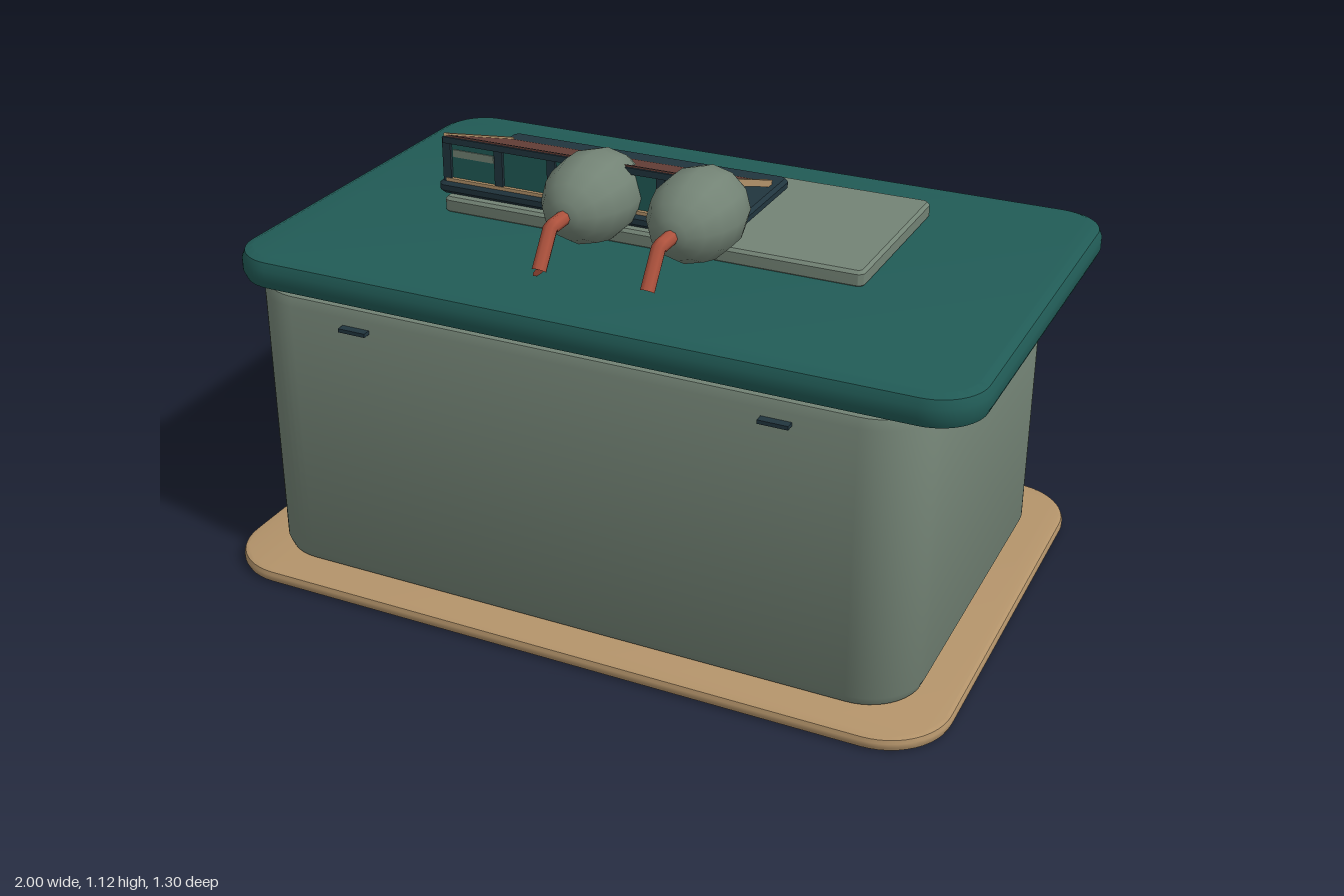
import * as THREE from 'three';
import { mergeVertices, toCreasedNormals } from 'three/addons/utils/BufferGeometryUtils.js';

const mat = (name, color) => {
  const m = new THREE.MeshStandardMaterial({ color });
  m.name = name;
  return m;
};

export function createModel() {
  const sage = mat('sage', 0x738375);
  const teal = mat('deep teal', 0x215b56);
  const navy = mat('dark slate', 0x21353e);
  const wood = mat('tan wood', 0xb3936a);
  const brown = mat('red brown', 0x653f37);
  const clay = mat('terracotta', 0xad523d);

  const model = new THREE.Group();
  model.name = 'building';

  const add = (name, geometry, material, parent = model) => {
    const mesh = new THREE.Mesh(geometry, material);
    mesh.name = name;
    parent.add(mesh);
    return mesh;
  };

  // Axis-aligned box given by its limits
  const box = (name, material, [x0, x1], [y0, y1], [z0, z1], parent) => {
    const mesh = add(name, new THREE.BoxGeometry(x1 - x0, y1 - y0, z1 - z0), material, parent);
    mesh.position.set((x0 + x1) / 2, (y0 + y1) / 2, (z0 + z1) / 2);
    return mesh;
  };

  // Slab with rounded plan corners and bevelled top and bottom edges
  const slab = (name, material, [x0, x1], [y0, y1], [z0, z1], radius, bevel, steps = 2) => {
    const w = (x1 - x0) / 2 - bevel, d = (z1 - z0) / 2 - bevel;
    const r = Math.max(radius - bevel, 0.004);
    const s = new THREE.Shape();
    s.moveTo(w, -d + r);
    s.absarc(w - r, d - r, r, 0, Math.PI / 2);
    s.absarc(-w + r, d - r, r, Math.PI / 2, Math.PI);
    s.absarc(-w + r, -d + r, r, Math.PI, Math.PI * 1.5);
    s.absarc(w - r, -d + r, r, Math.PI * 1.5, Math.PI * 2);
    let g = new THREE.ExtrudeGeometry(s, {
      depth: y1 - y0 - 2 * bevel, bevelEnabled: true, bevelSize: bevel,
      bevelThickness: bevel, bevelSegments: steps, curveSegments: 6,
    });
    g.deleteAttribute('uv');
    g.deleteAttribute('normal');
    g = toCreasedNormals(mergeVertices(g, 1e-4), 0.7);
    g.translate(0, 0, bevel).rotateX(-Math.PI / 2);
    const mesh = add(name, g, material);
    mesh.position.set((x0 + x1) / 2, y0, (z0 + z1) / 2);
    return mesh;
  };

  // Shell of the building
  slab('basePlate', wood, [-1, 0.98], [0, 0.035], [-0.65, 0.65], 0.17, 0.012);
  slab('walls', sage, [-0.91, 0.885], [0.03, 0.808], [-0.553, 0.555], 0.15, 0.033);
  slab('roof', teal, [-0.955, 1], [0.805, 0.89], [-0.645, 0.565], 0.13, 0.028);
  slab('roofPanel', sage, [-0.595, 0.57], [0.885, 0.93], [-0.435, 0.085], 0.02, 0.008, 1);

  // Lean-to skylight: kerb, sloping cover, glazed front, open gables
  const skylight = new THREE.Group();
  skylight.name = 'skylight';
  model.add(skylight);
  skylight.add(slab('skylightKerb', navy, [-0.625, 0.205], [0.93, 0.963], [-0.357, 0.065], 0.025, 0.009, 1));

  const low = new THREE.Vector3(0, 0.965, -0.285);
  const high = new THREE.Vector3(0, 1.085, 0.052);
  const run = high.clone().sub(low);
  const sloped = (name, w, h, x, material) => {
    const mesh = add(name, new THREE.BoxGeometry(w, h, run.length()), material, skylight);
    mesh.position.copy(low).add(high).multiplyScalar(0.5).setX(x);
    mesh.rotation.x = -Math.atan2(run.y, run.z);
    return mesh;
  };
  sloped('skylightCover', 0.77, 0.008, -0.212, brown);
  for (const x of [-0.597, 0.173]) sloped('gableRail', 0.016, 0.018, x, wood);

  box('skylightGlass', teal, [-0.6, 0.178], [0.96, 1.075], [0.04, 0.046], skylight);
  box('topRail', navy, [-0.605, 0.182], [1.068, 1.085], [0.038, 0.058], skylight);
  box('sillRail', wood, [-0.6, 0.178], [0.961, 0.972], [0.04, 0.056], skylight);
  for (let i = 0; i <= 5; i++) {
    const x = -0.597 + i * 0.154;
    box('mullion', navy, [x - 0.012, x + 0.012], [0.96, 1.08], [0.036, 0.054], skylight);
  }
  box('paneStrip', sage, [-0.58, -0.46], [1.03, 1.05], [0.046, 0.049], skylight);

  // Pair of rounded vents with bent spouts
  for (const x of [-0.155, 0.135]) {
    const vent = new THREE.Group();
    vent.name = 'roofVent';
    vent.position.x = x;
    model.add(vent);
    const body = add('ventBody', new THREE.SphereGeometry(1, 12, 9).rotateX(Math.PI / 2), sage, vent);
    body.scale.set(0.12, 0.117, 0.168);
    body.position.set(0, 1.004, 0.078);

    const path = new THREE.CurvePath();
    const pts = [[0.2, 1.003], [0.308, 1.001], [0.37, 0.912]].map(([z, y]) => new THREE.Vector3(0, y, z));
    path.add(new THREE.LineCurve3(pts[0], pts[1]));
    path.add(new THREE.LineCurve3(pts[1], pts[2]));
    add('ventSpout', new THREE.TubeGeometry(path, 16, 0.019, 8), clay, vent);
    const tip = add('spoutEnd', new THREE.CircleGeometry(0.019, 8), clay, vent);
    tip.position.copy(pts[2]);
    tip.lookAt(pts[2].clone().multiplyScalar(2).sub(pts[1]));
  }

  // Small hooks high on the front wall
  for (const x of [-0.57, 0.543]) {
    box('hookPlate', navy, [x - 0.038, x + 0.038], [0.745, 0.755], [0.545, 0.577]);
    box('hookStem', navy, [x - 0.028, x + 0.028], [0.738, 0.746], [0.545, 0.562]);
  }

  // Two back doors
  for (const x of [0.442, -0.467]) {
    const door = new THREE.Group();
    door.name = 'backDoor';
    door.position.x = x;
    model.add(door);
    box('doorFrame', navy, [-0.175, 0.175], [0.058, 0.715], [-0.58, -0.54], door);
    box('doorLeaf', teal, [-0.15, 0.15], [0.07, 0.66], [-0.602, -0.575], door);
    box('doorPlate', sage, [-0.095, 0.095], [0.55, 0.635], [-0.616, -0.6], door);
    box('doorHandle', sage, [0.09, 0.117], [0.3, 0.345], [-0.624, -0.6], door);
  }

  // Service hatch between the doors
  const hatch = slab('serviceHatch', teal, [-0.122, 0.098], [0, 0.04], [-0.11, 0.11], 0.018, 0.008, 1);
  hatch.rotation.x = -Math.PI / 2;
  hatch.position.set(-0.012, 0.48, -0.55);

  return model;
}
